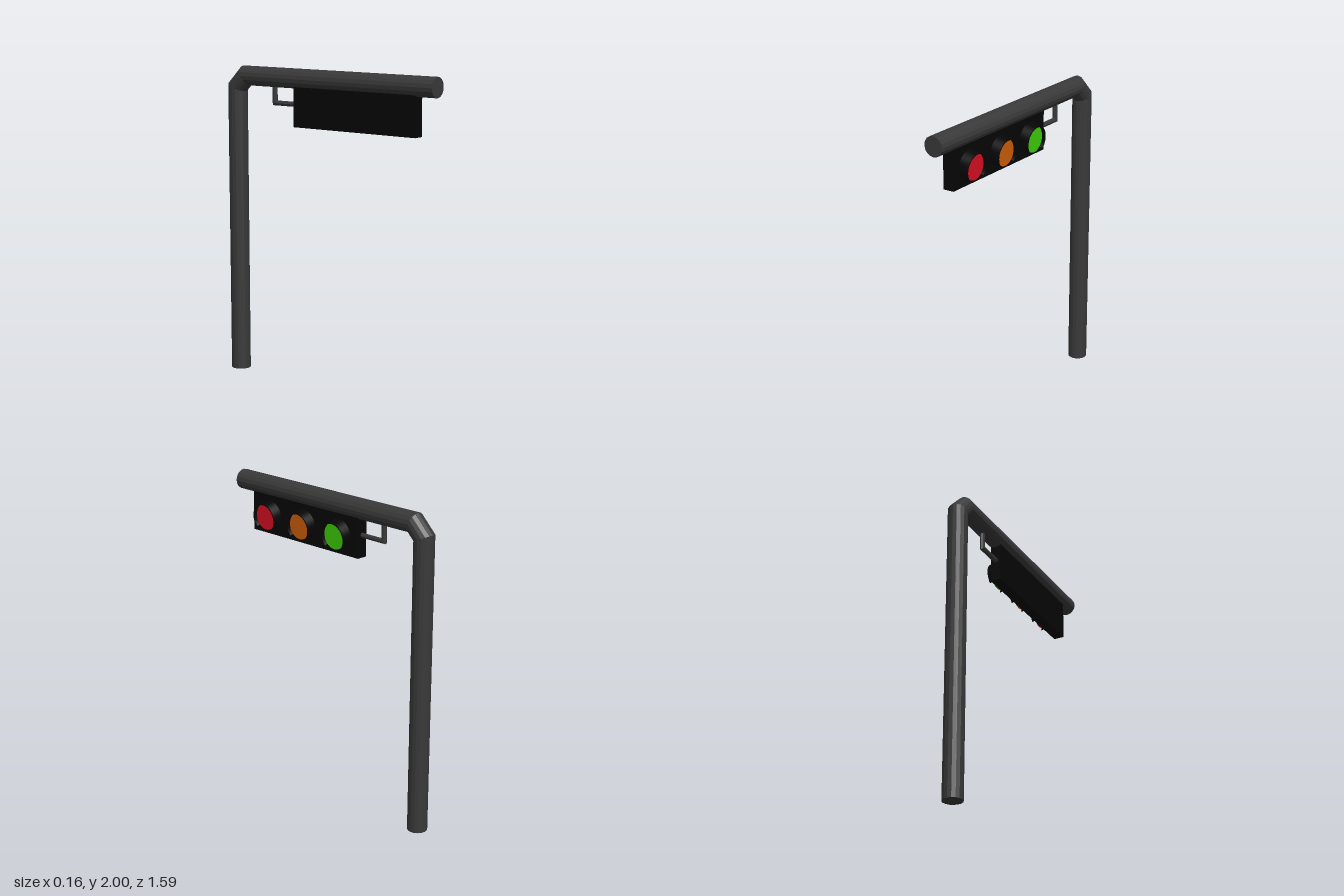
import * as THREE from 'three';

const AXIS_X = -0.02; // centre line of pole, arm and bracket

const paint = (color) => new THREE.MeshStandardMaterial({ color, flatShading: true });

function add(parent, name, geometry, material) {
  const mesh = new THREE.Mesh(geometry, material);
  mesh.name = name;
  parent.add(mesh);
  return mesh;
}

// Capped pipe with mitred corners; path points are [z, y] in the plane x = AXIS_X
function pipe(path, radius, sides) {
  const points = path.map(([z, y]) => new THREE.Vector2(z, y));
  const normals = points.slice(1).map((p, i) => {
    const t = p.clone().sub(points[i]).normalize();
    return new THREE.Vector2(-t.y, t.x);
  });
  const position = [], index = [];
  points.forEach((p, i) => {
    const a = normals[Math.max(i - 1, 0)];
    const b = normals[Math.min(i, normals.length - 1)];
    const mitre = a.clone().add(b).divideScalar(1 + a.dot(b));
    for (let s = 0; s < sides; s++) {
      const angle = (s / sides) * Math.PI * 2;
      const q = p.clone().addScaledVector(mitre, radius * Math.sin(angle));
      position.push(AXIS_X + radius * Math.cos(angle), q.y, q.x);
    }
  });
  const last = (points.length - 1) * sides;
  for (let s = 0; s < sides; s++) {
    const n = (s + 1) % sides;
    for (let r = 0; r < last; r += sides) {
      index.push(r + s, r + n, r + sides + s, r + n, r + sides + n, r + sides + s);
    }
    if (s > 0 && s < sides - 1) {
      index.push(0, s + 1, s, last, last + s, last + s + 1);
    }
  }
  const geometry = new THREE.BufferGeometry();
  geometry.setAttribute('position', new THREE.Float32BufferAttribute(position, 3));
  geometry.setIndex(index);
  geometry.computeVertexNormals();
  return geometry;
}

// Hood around a lamp, open at the bottom and leaning slightly down and outwards
function visorGeometry() {
  const start = -0.76, end = Math.PI + 0.76, depth = 0.066;
  const shape = new THREE.Shape();
  shape.absarc(0, 0, 0.095, start, end, false);
  shape.absarc(0, 0, 0.087, end, start, true);
  const geometry = new THREE.ExtrudeGeometry(shape, { depth, bevelEnabled: false, curveSegments: 20 });
  geometry.rotateY(Math.PI / 2);
  const p = geometry.attributes.position;
  for (let i = 0; i < p.count; i++) {
    const out = p.getX(i) / depth, y = p.getY(i);
    p.setXYZ(i, p.getX(i) + out * (y - 0.09) * 0.06, y - out * 0.012, p.getZ(i));
  }
  geometry.computeVertexNormals();
  return geometry;
}

export function createModel() {
  const model = new THREE.Group();
  model.name = 'trafficLight';
  const grey = paint(0x393939);
  const black = paint(0x060606);

  // Upright, chamfered elbow and overhead arm
  add(model, 'poleAndArm', pipe([[-0.73, 0], [-0.73, 1.862], [-0.655, 1.937], [0.795, 1.937]], 0.0625, 16), grey);

  // Small bracket tying the housing to the arm
  add(model, 'bracket', pipe([[-0.23, 1.776], [-0.421, 1.776], [-0.421, 1.9]], 0.016, 8), grey);

  // Signal head hanging below the arm
  const signal = new THREE.Group();
  signal.name = 'signalHead';
  model.add(signal);
  add(signal, 'housing', new THREE.BoxGeometry(0.07, 0.265, 0.91), black).position.set(-0.02, 1.7695, 0.21);

  // Three lamps with their visors, facing +x
  const visor = visorGeometry();
  const lamp = new THREE.CylinderGeometry(0.083, 0.083, 0.042, 32).rotateZ(-Math.PI / 2);
  const lamps = [['red', 0xd41020, 0.513], ['amber', 0xcc5c08, 0.213], ['green', 0x3cca08, -0.086]];
  for (const [name, color, z] of lamps) {
    add(signal, name + 'Lamp', lamp, paint(color)).position.set(0.034, 1.754, z);
    add(signal, name + 'Visor', visor, black).position.set(0.013, 1.757, z);
  }
  return model;
}
